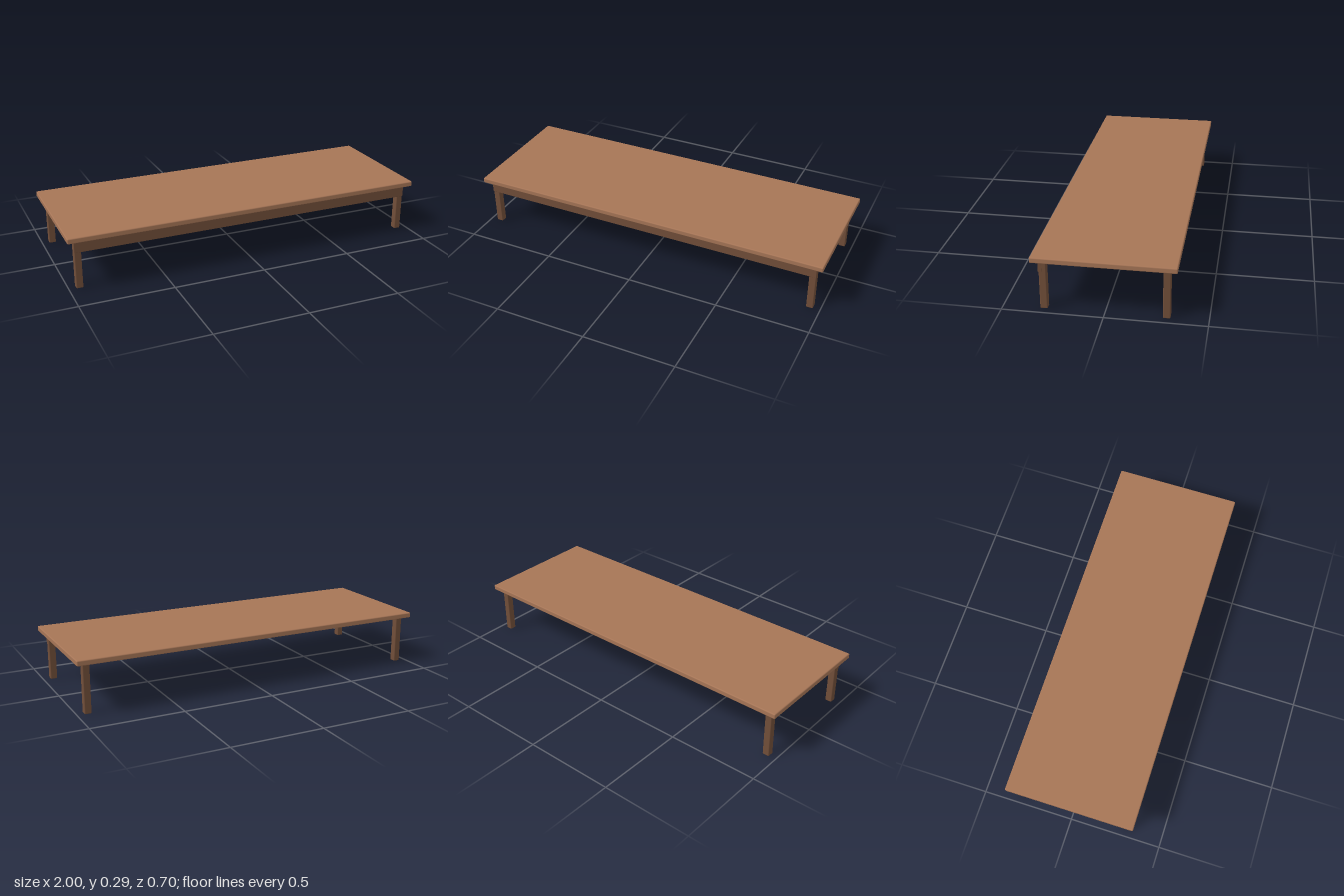
import * as THREE from 'three';
import { RoundedBoxGeometry } from 'three/addons/geometries/RoundedBoxGeometry.js';

export function createModel() {
  const table = new THREE.Group();
  table.name = 'lowTable';
  const lightWood = new THREE.MeshStandardMaterial({ color: 0xa67556 });
  const darkWood = new THREE.MeshStandardMaterial({ color: 0x714e39 });

  // Softly rounded board, placed by its centre
  function board(name, size, position, radius, material) {
    const mesh = new THREE.Mesh(new RoundedBoxGeometry(...size, 3, radius), material);
    mesh.name = name;
    mesh.position.set(...position);
    table.add(mesh);
  }

  // Table top
  board('tableTop', [2, 0.029, 0.7], [0, 0.2795, 0], 0.006, lightWood);

  // Four square legs
  for (const [side, x] of [['left', 1], ['right', -1]]) {
    for (const [end, z] of [['Front', 1], ['Back', -1]]) {
      board(side + end + 'Leg', [0.037, 0.265, 0.037], [x * 0.944, 0.1325, z * 0.298], 0.005, darkWood);
    }
  }

  // Apron along the front only
  board('frontApron', [1.926, 0.067, 0.02], [0, 0.2325, 0.31], 0.003, darkWood);

  return table;
}
